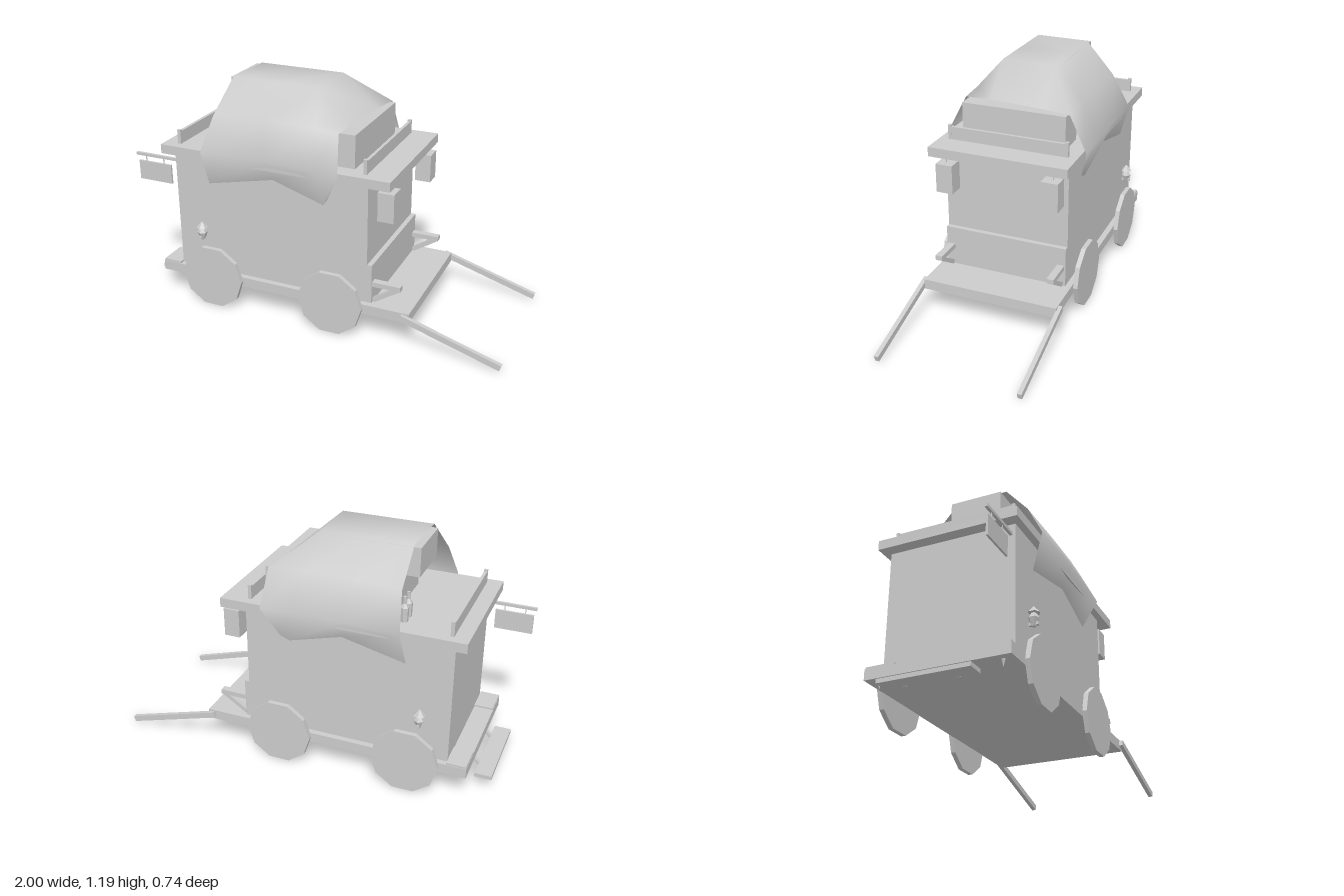
import * as THREE from 'three';

const grey = new THREE.MeshStandardMaterial({ color: 0xcccccc });
const flat = new THREE.MeshStandardMaterial({ color: 0xcccccc, flatShading: true });
const cloth = new THREE.MeshStandardMaterial({ color: 0xcccccc, side: THREE.DoubleSide });

export function createModel() {
  const model = new THREE.Group();

  const add = (name, geometry, material = grey) => {
    const mesh = new THREE.Mesh(geometry, material);
    mesh.name = name;
    model.add(mesh);
    return mesh;
  };
  // Box given by its limits on each axis
  const box = (name, x0, x1, y0, y1, z0, z1) => {
    const mesh = add(name, new THREE.BoxGeometry(x1 - x0, y1 - y0, z1 - z0));
    mesh.position.set((x0 + x1) / 2, (y0 + y1) / 2, (z0 + z1) / 2);
    return mesh;
  };
  // Square bar in the xy plane between two points
  const bar = (name, x0, y0, x1, y1, z, height, width) => {
    const mesh = add(name, new THREE.BoxGeometry(Math.hypot(x1 - x0, y1 - y0), height, width));
    mesh.position.set((x0 + x1) / 2, (y0 + y1) / 2, z);
    mesh.rotation.z = Math.atan2(y1 - y0, x1 - x0);
    return mesh;
  };
  // Faceted turned part from [radius, height] pairs
  const turned = (name, profile, sides, x, y, z) => {
    const points = profile.map(([r, h]) => new THREE.Vector2(r, h));
    const mesh = add(name, new THREE.LatheGeometry(points, sides), flat);
    mesh.position.set(x, y, z);
    return mesh;
  };

  // Wagon body
  box('chassis', -0.85, 0.53, 0.138, 0.19, -0.35, 0.35);
  box('body', -0.75, 0.3, 0.19, 0.815, -0.32, 0.32);
  box('roof', -0.81, 0.42, 0.812, 0.86, -0.355, 0.355);
  box('dashboard', 0.3, 0.325, 0.19, 0.395, -0.32, 0.32);

  // Roof boards with end posts
  for (const x of [-0.727, 0.28]) {
    box('roofBoard', x - 0.008, x + 0.008, 0.86, 0.925, -0.3, 0.3);
    for (const z of [-0.302, 0.302])
      box('boardPost', x - 0.009, x + 0.009, 0.86, 0.933, z - 0.008, z + 0.008);
  }

  // Luggage under the canopy
  box('frontChest', 0.06, 0.212, 0.86, 1.028, -0.268, 0.268);
  box('lowerCrate', -0.42, 0.0, 0.86, 1.03, -0.2, 0.17);
  box('upperCrate', -0.515, -0.1, 1.04, 1.185, -0.14, 0.13);
  const bottle = [[0, 0], [0.02, 0], [0.022, 0.07], [0.008, 0.09], [0.008, 0.125], [0, 0.125]];
  for (const z of [-0.19, -0.245]) turned('bottle', bottle, 6, -0.48, 0.86, z);

  // Canopy: rows run over the wagon from left to right, columns from rear to front
  const rows = [
    [0.32, [-0.56, 0.675], [-0.2, 0.755], [0.07, 0.67], [0.09, 0.7]],
    [0.372, [-0.57, 0.86], [-0.22, 0.87], [0.04, 0.86], [0.165, 0.85]],
    [0.285, [-0.535, 1.03], [-0.24, 1.04], [0.01, 1.04], [0.135, 1.03]],
    [0.15, [-0.49, 1.195], [-0.25, 1.195], [-0.02, 1.195], [0.14, 1.035]],
    [-0.13, [-0.48, 1.195], [-0.25, 1.195], [-0.02, 1.195], [0.17, 1.035]],
    [-0.28, [-0.475, 1.03], [-0.24, 1.04], [0.01, 1.04], [0.19, 1.03]],
    [-0.37, [-0.5, 0.85], [-0.22, 0.86], [0.04, 0.86], [0.2, 0.85]],
    [-0.32, [-0.52, 0.68], [-0.2, 0.755], [0.07, 0.68], [0.12, 0.7]],
  ];
  const positions = [], indices = [];
  rows.forEach(([z, ...points], i) => points.forEach(([x, y], j) => {
    positions.push(x, y, z);
    if (i && j) {
      const d = i * 4 + j, c = d - 1, b = d - 4, a = d - 5;
      indices.push(a, b, d, a, d, c);
    }
  }));
  const sheet = new THREE.BufferGeometry();
  sheet.setAttribute('position', new THREE.Float32BufferAttribute(positions, 3));
  sheet.setIndex(indices);
  sheet.computeVertexNormals();
  add('canopy', sheet, cloth);

  // Ten-sided wheels
  const wheel = new THREE.CylinderGeometry(0.172, 0.172, 0.024, 10);
  wheel.rotateY(Math.PI / 10).rotateX(Math.PI / 2);
  for (const x of [-0.545, 0.12])
    for (const z of [-0.36, 0.36]) add('wheel', wheel, flat).position.set(x, 0.166, z);

  // Parts mirrored on both sides
  const lamp = [[0, -0.025], [0.01, -0.02], [0.027, 0.02], [0.012, 0.045], [0.03, 0.046], [0, 0.08]];
  for (const s of [-1, 1]) {
    bar('shaft', 0.49, 0.172, 0.993, 0.022, s * 0.358, 0.03, 0.022);
    box('armRest', 0.32, 0.47, 0.278, 0.303, s * 0.295 - 0.018, s * 0.295 + 0.018);
    bar('armBrace', 0.33, 0.2, 0.46, 0.285, s * 0.295, 0.022, 0.026);
    box('hangingLantern', 0.345, 0.427, 0.635, 0.782, s * 0.27 - 0.043, s * 0.27 + 0.043);
    box('lanternCord', 0.383, 0.388, 0.78, 0.815, s * 0.275 - 0.002, s * 0.275 + 0.002);
    turned('sideLamp', lamp, 6, -0.605, 0.385, s * 0.342);
    box('lampBracket', -0.612, -0.598, 0.37, 0.385, s * 0.342 - 0.024, s * 0.342 + 0.024);
    box('rearBlock', -0.848, -0.75, 0.185, 0.2, s * 0.275 - 0.072, s * 0.275 + 0.072);
    turned('spike', [[0, -0.04], [0.011, 0], [0, 0]], 4, -0.81, 0.14, s * 0.295);
    bar('stepBracket', -0.88, 0.065, -0.785, 0.155, s * 0.125, 0.014, 0.02);
  }
  box('rearStep', -0.95, -0.865, 0.065, 0.085, -0.22, 0.22);

  // Hanging sign at the rear left
  box('signRod', -1, -0.74, 0.757, 0.772, 0.292, 0.306);
  box('signBoard', -0.988, -0.795, 0.625, 0.728, 0.294, 0.304);
  for (const x of [-0.945, -0.84]) box('signCord', x - 0.002, x + 0.002, 0.725, 0.76, 0.297, 0.301);

  return model;
}
